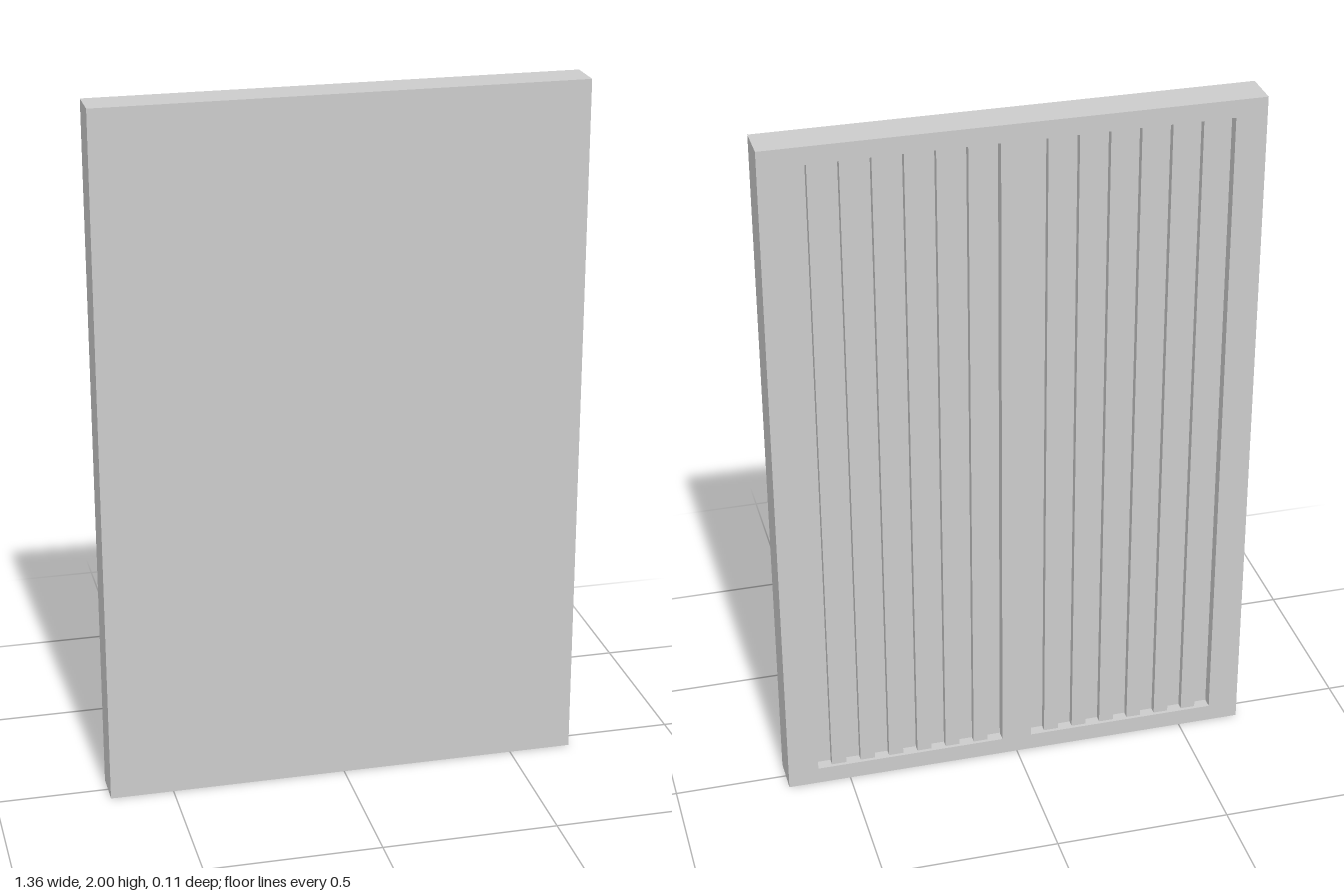
import * as THREE from 'three';

const W = 1.36, H = 2, D = 0.11;          // overall panel size
const SIDE = 0.087, RAIL = 0.05;          // frame borders
const RECESS = 0.032, SLAT_INSET = 0.01;  // depths from the back face
const SLATS = 6;

export function createModel() {
  const group = new THREE.Group();
  const material = new THREE.MeshStandardMaterial({ color: 0xcccccc });
  const add = (name, geometry, x, y, z) => {
    const mesh = new THREE.Mesh(geometry, material);
    mesh.name = name;
    mesh.position.set(x, y, z);
    group.add(mesh);
  };
  const rect = (path, x0, y0, x1, y1) =>
    path.moveTo(x0, y0).lineTo(x1, y0).lineTo(x1, y1).lineTo(x0, y1).closePath();

  // Solid front slab
  add('frontPanel', new THREE.BoxGeometry(W, H, D - RECESS), 0, H / 2, RECESS / 2);

  // Back frame with two tall openings
  const openW = (W - 3 * SIDE) / 2;
  const openX = (openW + SIDE) / 2;
  const frame = new THREE.Shape();
  rect(frame, -W / 2, 0, W / 2, H);
  for (const s of [-1, 1]) {
    const hole = new THREE.Path();
    rect(hole, s * openX - openW / 2, RAIL, s * openX + openW / 2, H - RAIL);
    frame.holes.push(hole);
  }
  add('backFrame', new THREE.ExtrudeGeometry(frame, { depth: RECESS, bevelEnabled: false }), 0, 0, -D / 2);

  // Upright slats, as wide as the gaps between them
  const slatW = openW / (2 * SLATS + 1);
  const slatD = RECESS - SLAT_INSET;
  const slat = new THREE.BoxGeometry(slatW, H - 2 * RAIL, slatD);
  for (const s of [-1, 1]) {
    for (let i = 0; i < SLATS; i++) {
      const x = s * openX - openW / 2 + slatW * (2 * i + 1.5);
      add('slat', slat, x, H / 2, -D / 2 + SLAT_INSET + slatD / 2);
    }
  }
  return group;
}
